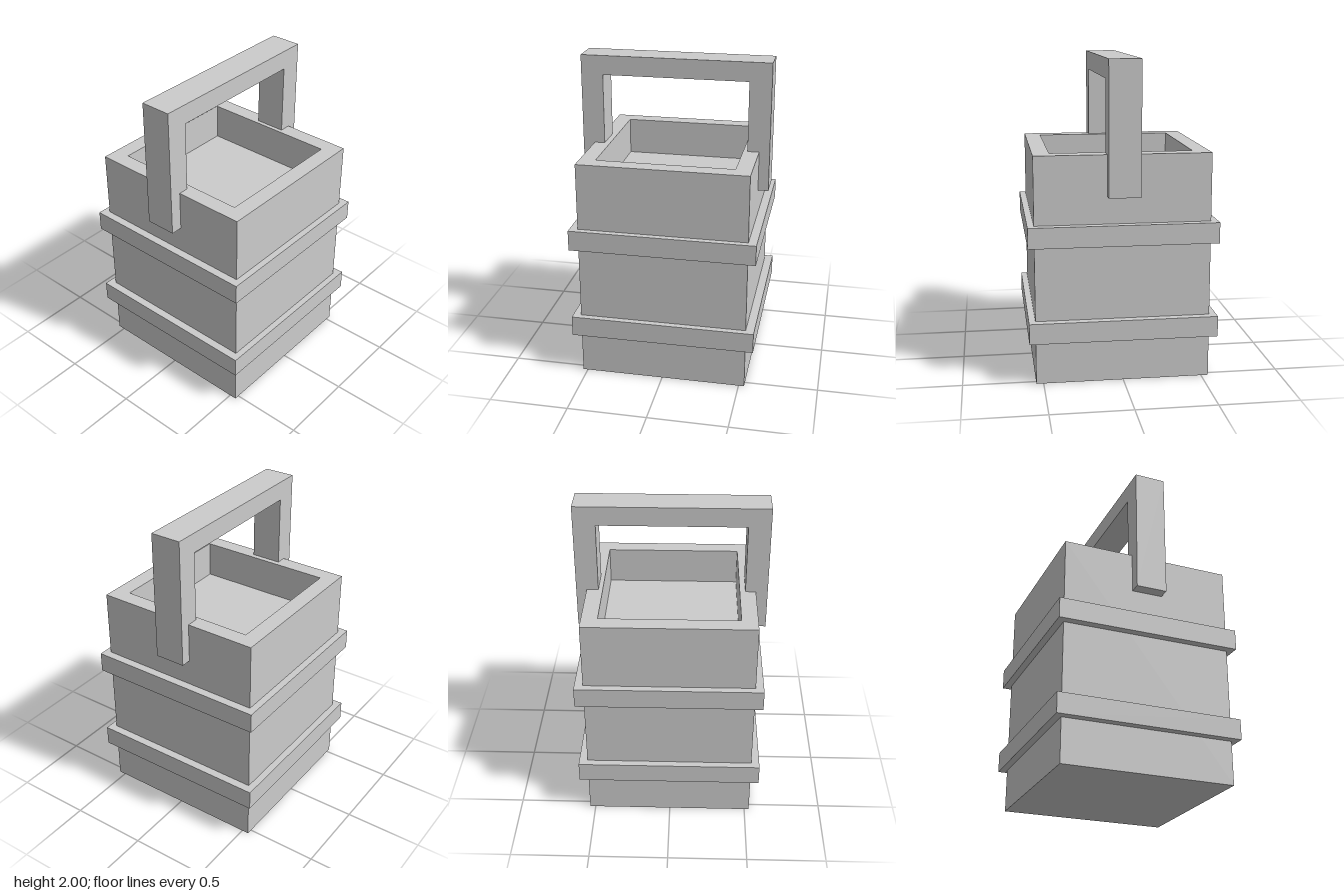
import * as THREE from 'three';

export function createModel() {
  const model = new THREE.Group();
  model.name = 'squareBucket';
  const material = new THREE.MeshStandardMaterial({ color: 0xcccccc, flatShading: true });

  const add = (name, geometry, x = 0, y = 0, z = 0) => {
    const mesh = new THREE.Mesh(geometry, material);
    mesh.name = name;
    mesh.position.set(x, y, z);
    model.add(mesh);
  };

  // Square body with a shallow recess: a four-sided lathe of the half section
  const halfX = 0.533, halfZ = 0.545, height = 1.43, floorY = 1.193, inner = 0.81;
  const section = [[0, 0], [1, 0], [1, height], [inner, height], [inner, floorY], [0, floorY]]
    .map(([r, y]) => new THREE.Vector2(r * Math.SQRT2, y));
  const body = new THREE.LatheGeometry(section, 4, Math.PI / 4)
    .scale(halfX, 1, halfZ)
    .toNonIndexed();
  body.computeVertexNormals();
  add('body', body, 0.003);

  // Two bands around the body
  const bandHeight = 0.13;
  [['lowerBand', 0.34], ['upperBand', 0.94]].forEach(([name, y]) =>
    add(name, new THREE.BoxGeometry(1.17, bandHeight, 1.175), 0.004, y, -0.002));

  // Carrying handle: an upside-down U whose legs are set into the side walls
  const outerX = 0.603, innerX = 0.463, legBottom = 1.175, barBottom = 1.877, top = 2;
  const outline = new THREE.Shape([
    [-outerX, legBottom], [-innerX, legBottom], [-innerX, barBottom], [innerX, barBottom],
    [innerX, legBottom], [outerX, legBottom], [outerX, top], [-outerX, top],
  ].map(([x, y]) => new THREE.Vector2(x, y)));
  const depth = 0.198;
  add('handle', new THREE.ExtrudeGeometry(outline, { depth, bevelEnabled: false }), -0.001, 0, -depth / 2);

  return model;
}
